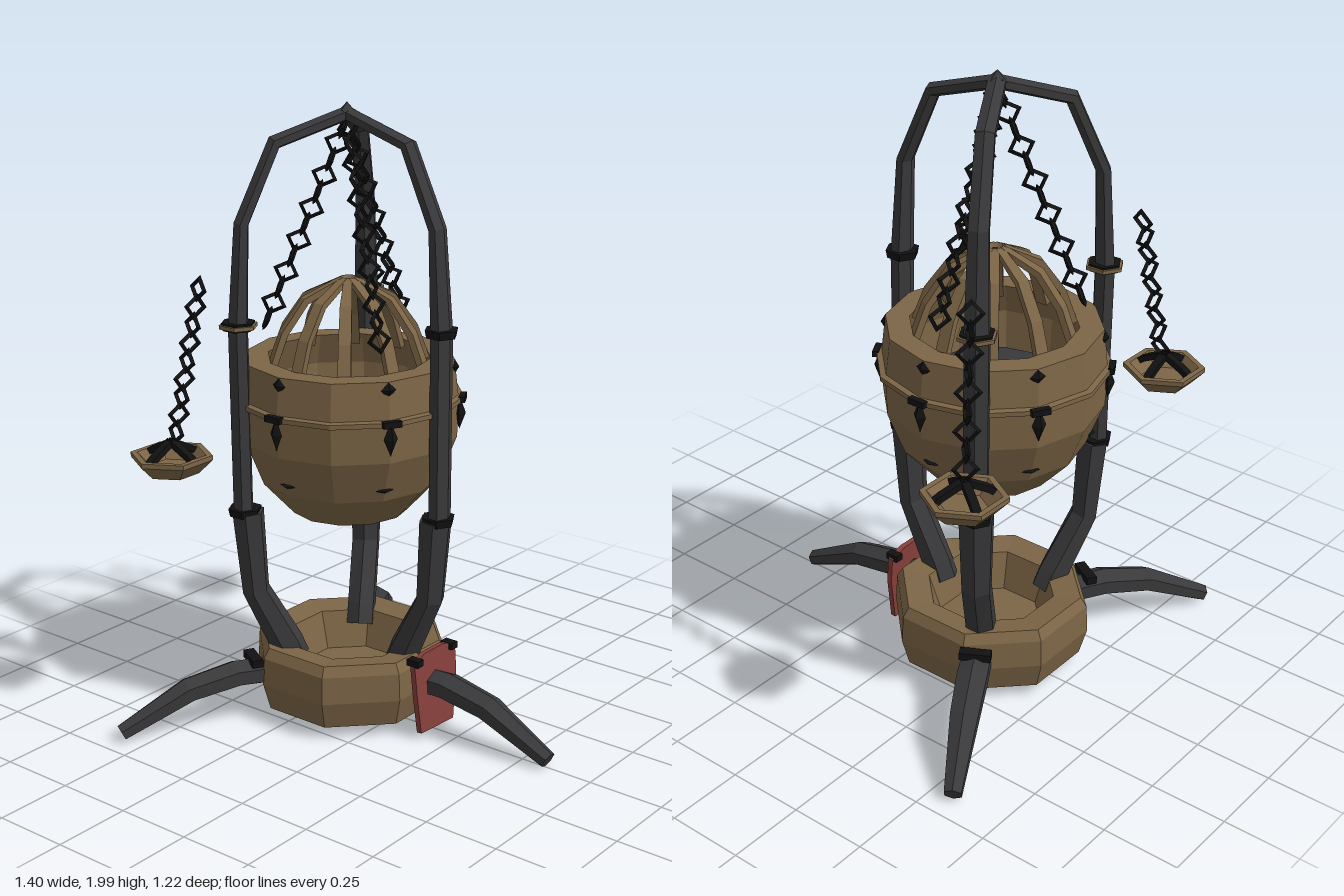
import * as THREE from 'three';

const mat = (name, color, side = THREE.FrontSide) => {
  const m = new THREE.MeshStandardMaterial({ color, side });
  m.name = name;
  return m;
};

// Gives every face its own normal
function flat(geo) {
  const g = geo.index ? geo.toNonIndexed() : geo;
  g.computeVertexNormals();
  return g;
}

// Six-sided bar along stations [radius, height, halfWidth, halfThickness], radius along +z
function limb(stations, sides = 6) {
  const pos = [], idx = [], n = stations.length;
  stations.forEach(([r, y, w, t], s) => {
    const a = stations[Math.max(0, s - 1)], b = stations[Math.min(n - 1, s + 1)];
    const d = new THREE.Vector2(b[0] - a[0], b[1] - a[1]).normalize();
    for (let i = 0; i < sides; i++) {
      const ang = (i / sides) * Math.PI * 2 + (sides === 4 ? Math.PI / 4 : 0);
      const c = Math.cos(ang) * t;
      pos.push(Math.sin(ang) * w, y - d.x * c, r + d.y * c);
    }
  });
  for (let s = 0; s < n - 1; s++) for (let i = 0; i < sides; i++) {
    const j = (i + 1) % sides, a = s * sides, b = a + sides;
    idx.push(a + i, a + j, b + j, a + i, b + j, b + i);
  }
  const e = (n - 1) * sides;
  for (let i = 1; i < sides - 1; i++) idx.push(0, i + 1, i, e, e + i, e + i + 1);
  const g = new THREE.BufferGeometry();
  g.setAttribute('position', new THREE.Float32BufferAttribute(pos, 3));
  g.setIndex(idx);
  return flat(g);
}

const lathe = (pts, segs) => flat(new THREE.LatheGeometry(pts.map(p => new THREE.Vector2(...p)), segs));

export function createModel() {
  const brass = mat('aged brass', 0x7c6546);
  const iron = mat('dark iron', 0x39393b);
  const black = mat('black metal', 0x111111);
  const red = mat('red enamel', 0x87403c);

  const model = new THREE.Group();
  const root = new THREE.Group();
  root.name = 'brazier';
  root.position.z = -0.19;
  model.add(root);

  const add = (parent, name, geo, material, x = 0, y = 0, z = 0) => {
    const m = new THREE.Mesh(geo, material);
    m.name = name;
    m.position.set(x, y, z);
    parent.add(m);
    return m;
  };

  // Chain of diamond links, each turned a quarter from the last
  const linkGeo = flat(new THREE.TorusGeometry(0.034, 0.009, 3, 4));
  function chain(parent, from, to) {
    const g = new THREE.Group();
    g.name = 'chain';
    const d = to.clone().sub(from), len = d.length(), count = Math.round(len / 0.054);
    g.position.copy(from);
    g.quaternion.setFromUnitVectors(new THREE.Vector3(0, 1, 0), d.normalize());
    for (let i = 0; i < count; i++) {
      add(g, 'chainLink', linkGeo, black, 0, ((i + 0.5) / count) * len, 0).rotation.y = (i % 2) * Math.PI / 2 + 0.35;
    }
    parent.add(g);
  }

  // Hollow octagonal base
  add(root, 'base', lathe([[0, 0.03], [0.2, 0.025], [0.3, 0.05], [0.325, 0.14], [0.32, 0.23], [0.3, 0.262],
    [0.21, 0.25], [0.17, 0.13], [0, 0.13]], 8), brass).rotation.y = Math.PI / 8;

  // Open faceted fire bowl
  add(root, 'fireBowl', lathe([[0, 0.7], [0.19, 0.7], [0.29, 0.81], [0.345, 0.95], [0.35, 1.07], [0.335, 1.205],
    [0.26, 1.205], [0.3, 1.1], [0.29, 0.95], [0, 0.92]], 12), brass);
  add(root, 'bowlBand', lathe([[0.34, 1.065], [0.366, 1.07], [0.366, 1.085], [0.34, 1.09]], 12), brass);
  add(root, 'coalBed', flat(new THREE.CylinderGeometry(0.25, 0.28, 0.05, 12)), iron, 0, 0.97, 0);

  // Cage ribs over the bowl
  const ribGeo = limb([[0.25, 1.18, 0.03, 0.015], [0.21, 1.29, 0.028, 0.015], [0.14, 1.39, 0.026, 0.015], [0.02, 1.45, 0.018, 0.012]], 4);
  for (let i = 0; i < 10; i++) {
    add(root, 'cageRib', ribGeo, brass).rotation.y = ((i + 0.5) / 10) * Math.PI * 2;
  }

  // Clasps around the bowl
  const dropGeo = flat(new THREE.OctahedronGeometry(1));
  for (let i = 0; i < 6; i++) {
    const g = new THREE.Group();
    g.name = 'bowlClasp';
    g.rotation.y = Math.PI / 6 + i * Math.PI / 3;
    add(g, 'claspDrop', dropGeo, black, 0, 1.03, 0.352).scale.set(0.023, 0.055, 0.02);
    add(g, 'claspHinge', flat(new THREE.BoxGeometry(0.06, 0.02, 0.02)), black, 0, 1.08, 0.362);
    add(g, 'rimStud', dropGeo, black, 0, 1.18, 0.335).scale.set(0.025, 0.025, 0.015);
    add(g, 'lowerStud', dropGeo, black, 0, 0.85, 0.303).scale.set(0.03, 0.009, 0.015);
    root.add(g);
  }

  // Three legs, each with foot, post and collars
  const footGeo = limb([[0.27, 0.17, 0.05, 0.045], [0.4, 0.175, 0.055, 0.045], [0.56, 0.145, 0.05, 0.042], [0.785, 0.035, 0.03, 0.028]]);
  const strutGeo = limb([[0.2, 0.2, 0.05, 0.055], [0.225, 0.26, 0.05, 0.055], [0.325, 0.46, 0.05, 0.045], [0.345, 0.73, 0.058, 0.052]]);
  const postGeo = limb([[0.36, 0.7, 0.042, 0.032], [0.363, 1.33, 0.042, 0.032], [0.345, 1.65, 0.034, 0.024],
    [0.235, 1.89, 0.032, 0.024], [0, 1.965, 0.03, 0.022]]);
  const collarGeo = flat(new THREE.CylinderGeometry(0.055, 0.05, 0.025, 6));
  for (let i = 0; i < 3; i++) {
    const arm = new THREE.Group();
    arm.name = 'leg';
    arm.rotation.y = (i * Math.PI * 2) / 3;
    root.add(arm);
    add(arm, 'foot', footGeo, iron);
    add(arm, 'lowerStrut', strutGeo, iron);
    add(arm, 'post', postGeo, iron);
    add(arm, 'lowerCollar', collarGeo, black, 0, 0.73, 0.355);
    add(arm, 'upperCollar', collarGeo, black, 0, 1.335, 0.362);
    if (i) {
      add(arm, 'collarPlate', flat(new THREE.CylinderGeometry(0.062, 0.062, 0.012, 6)), brass, 0, 1.335, 0.362);
      add(arm, 'footClamp', flat(new THREE.BoxGeometry(0.1, 0.025, 0.035)), black, 0, 0.218, 0.34);
      // Hanging dish with its chain and spider
      add(arm, 'dish', lathe([[0, 0.89], [0.085, 0.89], [0.13, 0.935], [0.13, 0.95], [0.11, 0.95], [0.07, 0.91], [0, 0.91]], 6),
        brass, 0, 0, 0.587).rotation.y = Math.PI / 6;
      chain(arm, new THREE.Vector3(0, 0.99, 0.575), new THREE.Vector3(0, 1.49, 0.48));
      const strap = limb([[0, 0.99, 0.018, 0.014], [0.07, 0.955, 0.018, 0.014], [0.1, 0.935, 0.018, 0.014]], 4);
      for (let k = 0; k < 4; k++) {
        add(arm, 'dishStrap', strap, black, 0, 0, 0.587).rotation.y = Math.PI / 6 + k * Math.PI / 2;
      }
    }
    // Chain from the apex to the bowl cage, set between the legs
    const a = Math.PI / 2 + (i * Math.PI * 2) / 3;
    chain(root, new THREE.Vector3(0, 1.95, 0),
      new THREE.Vector3(Math.sin(a) * 0.27, 1.29, Math.cos(a) * 0.27));
  }
  add(root, 'apexCap', dropGeo, iron, 0, 1.97, 0).scale.set(0.035, 0.03, 0.035);

  // Red shield on the front of the base
  const outline = [[-0.09, 0.03], [0.08, 0.02], [0.095, 0.1], [0.11, 0.18], [0.11, 0.27], [0.05, 0.29], [-0.05, 0.29], [-0.105, 0.27], [-0.1, 0.15]];
  const shape = new THREE.Shape(outline.map(p => new THREE.Vector2(...p)));
  const shield = add(root, 'shield', flat(new THREE.ExtrudeGeometry(shape, { depth: 0.018, bevelEnabled: false })), red, 0, 0, 0.345);
  shield.rotation.x = -0.07;
  for (const s of [-1, 1]) {
    add(root, 'shieldBolt', flat(new THREE.BoxGeometry(0.03, 0.022, 0.045)), black, s * 0.09, 0.272, 0.335);
  }
  return model;
}
